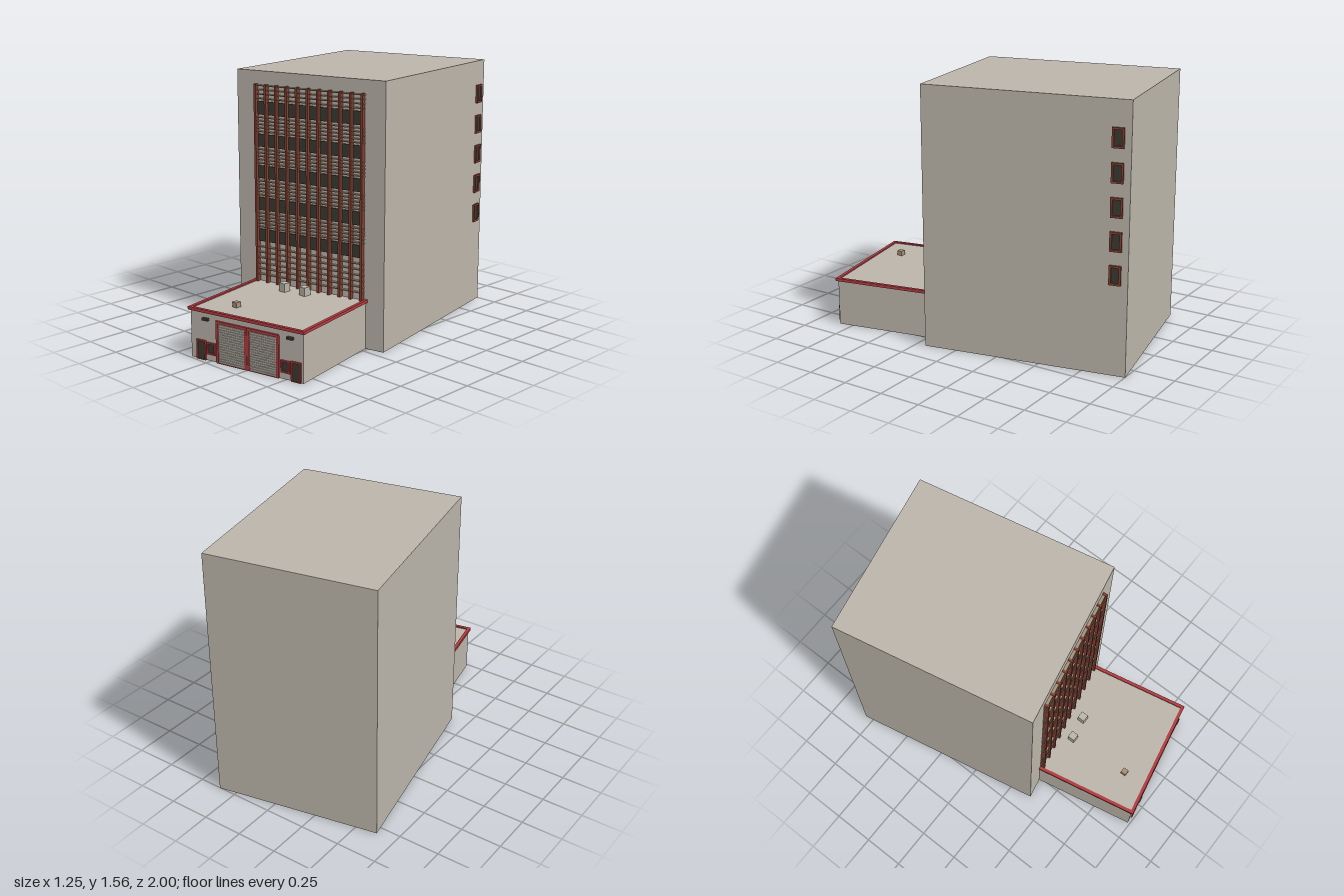
import * as THREE from 'three';

const mat = (name, color) => {
  const m = new THREE.MeshStandardMaterial({ color });
  m.name = name;
  return m;
};

export function createModel() {
  const concrete = mat('concrete', 0xbab4a9);
  const red = mat('trimRed', 0xb03a3e);
  const brown = mat('rustBrown', 0x843f31);
  const tan = mat('tan', 0xa58f78);
  const glass = mat('darkGlass', 0x3a3a33);

  const model = new THREE.Group();
  model.name = 'towerWithGarage';
  // The whole building stands slightly turned on its plot
  const building = new THREE.Group();
  building.name = 'building';
  building.rotation.y = 0.199;
  model.add(building);

  // Box given by its minimum and maximum on each axis
  const box = (parent, name, material, x0, x1, y0, y1, z0, z1) => {
    const mesh = new THREE.Mesh(new THREE.BoxGeometry(x1 - x0, y1 - y0, z1 - z0), material);
    mesh.position.set((x0 + x1) / 2, (y0 + y1) / 2, (z0 + z1) / 2);
    mesh.name = name;
    parent.add(mesh);
    return mesh;
  };

  // Opening facing +z: a raised frame around a thin pane
  const framed = (parent, name, w, h, border, depth, frameMat, paneMat, openBottom = false) => {
    const g = new THREE.Group();
    g.name = name;
    const s = new THREE.Shape();
    s.moveTo(-w / 2, 0).lineTo(w / 2, 0).lineTo(w / 2, h).lineTo(-w / 2, h).closePath();
    const b = openBottom ? 0.002 : border;
    const hole = new THREE.Path();
    hole.moveTo(-w / 2 + border, b).lineTo(-w / 2 + border, h - border)
      .lineTo(w / 2 - border, h - border).lineTo(w / 2 - border, b).closePath();
    s.holes.push(hole);
    const frame = new THREE.Mesh(new THREE.ExtrudeGeometry(s, { depth, bevelEnabled: false }), frameMat);
    frame.name = name + 'Frame';
    g.add(frame);
    box(g, name + 'Pane', paneMat, -w / 2 + border, w / 2 - border, b, h - border, 0, 0.004);
    parent.add(g);
    return g;
  };

  // Tower
  const front = 0.305;
  box(building, 'tower', concrete, -0.457, 0.551, 0, 1.556, -0.911, front);

  // Front facade: window bands, louvres between them and tall fins
  const left = -0.314, right = 0.412;
  const bands = [[0.538, 0.612], [0.728, 0.806], [0.922, 0.998], [1.111, 1.186], [1.301, 1.379]];
  for (const [y0, y1] of bands) box(building, 'windowBand', glass, left, right, y0, y1, front, front + 0.008);

  const louvres = (y0, y1, count) => {
    for (let i = 0; i < count; i++) {
      const y = y0 + (y1 - y0) * i / (count - 1);
      box(building, 'louvre', tan, left - 0.011, right + 0.011, y - 0.003, y + 0.003, front, front + 0.018);
    }
  };
  louvres(0.335, 0.505, 6);
  for (let i = 0; i < 4; i++) louvres(bands[i][1] + 0.016, bands[i + 1][0] - 0.016, 5);
  louvres(1.396, 1.472, 4);

  for (let i = 0; i <= 10; i++) {
    const x = left + (right - left) * i / 10;
    box(building, 'fin', brown, x - 0.007, x + 0.007, 0.29, 1.48, front, front + 0.028);
  }

  // Column of small windows on the right wall
  for (let i = 0; i < 5; i++) {
    const w = framed(building, 'sideWindow', 0.068, 0.112, 0.012, 0.012, brown, glass);
    w.rotation.y = Math.PI / 2;
    w.position.set(0.551, 0.532 + 0.1905 * i, -0.838);
  }

  // Garage wing with a red roof edge
  const wall = 0.94;
  box(building, 'garageWing', concrete, -0.33, 0.432, 0, 0.29, front - 0.01, wall);
  box(building, 'roofEdgeLeft', red, -0.342, -0.322, 0.28, 0.298, front, 0.952);
  box(building, 'roofEdgeRight', red, 0.424, 0.444, 0.28, 0.298, front, 0.952);
  box(building, 'roofEdgeFront', red, -0.322, 0.424, 0.28, 0.298, 0.932, 0.952);

  // Two roller doors with slatted shutters
  for (const x of [-0.043, 0.17]) {
    const door = framed(building, 'rollerDoor', 0.212, 0.247, 0.016, 0.01, red, concrete, true);
    door.position.set(x, 0, wall);
    for (let i = 0; i < 16; i++) {
      const slat = box(door, 'shutterSlat', concrete, -0.09, 0.09, 0.004 + i * 0.0142, 0.015 + i * 0.0142, 0.002, 0.006);
      slat.rotation.x = 0.15;
    }
  }

  // Side doors, small windows and lamps, mirrored about the wing's middle
  for (const side of [-1, 1]) {
    const mid = 0.0655;
    framed(building, 'sideDoor', 0.064, 0.115, 0.009, 0.01, red, glass, true)
      .position.set(mid + side * 0.322, 0, wall);
    framed(building, 'garageWindow', 0.06, 0.07, 0.009, 0.01, red, glass)
      .position.set(mid + side * 0.252, 0.039, wall);
    const lampX = mid + side * 0.286;
    box(building, 'lamp', glass, lampX - 0.019, lampX + 0.019, 0.236, 0.25, wall, wall + 0.018);
  }

  // Roof units, set square to the plot
  for (const [x, z] of [[0.018, 0.41], [0.158, 0.382]]) {
    box(model, 'roofUnit', concrete, x - 0.023, x + 0.023, 0.285, 0.341, z - 0.023, z + 0.023);
  }
  box(model, 'roofVent', tan, 0.021, 0.055, 0.285, 0.32, 0.783, 0.817);

  return model;
}
